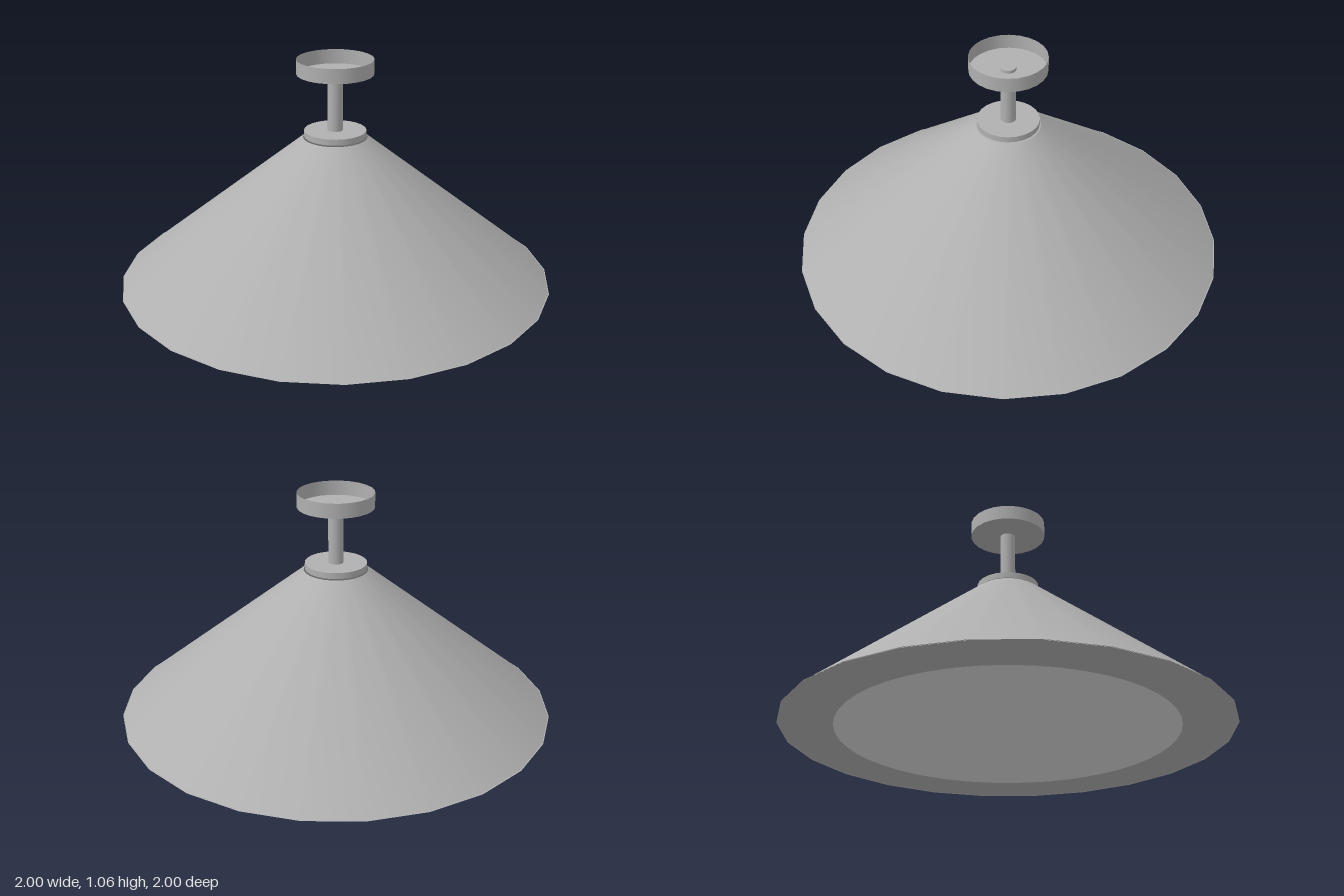
import * as THREE from 'three';

const metal = new THREE.MeshStandardMaterial({ color: 0xb0b0b0, side: THREE.DoubleSide });
metal.name = 'grey metal';
const glow = new THREE.MeshStandardMaterial({ color: 0xd8d8d8 });
glow.name = 'pale diffuser';

const SIDES = 24;
const TURN = Math.PI / SIDES; // puts a flat side on each axis
const RIM = 1 / Math.cos(TURN);

export function createModel() {
  const group = new THREE.Group();
  const add = (name, geometry, material = metal) => {
    const mesh = new THREE.Mesh(geometry, material);
    mesh.name = name;
    group.add(mesh);
    return mesh;
  };

  // Upright round part between two heights
  const round = (name, rTop, rBottom, y0, y1, open = false, sides = SIDES) => {
    const g = new THREE.CylinderGeometry(rTop, rBottom, y1 - y0, sides, 1, open, TURN);
    return add(name, g.translate(0, (y0 + y1) / 2, 0));
  };

  // Flat round plate facing down
  const plate = (name, r, y, material, sides = SIDES) => {
    const g = new THREE.CircleGeometry(r, sides, TURN);
    return add(name, g.rotateX(Math.PI / 2).translate(0, y, 0), material);
  };

  // Conical shade, open at the top, closed underneath
  round('shade', 0.148, RIM, 0, 0.692, true);
  plate('shadeUnderside', RIM, 0.003, metal);
  plate('diffuser', 0.767, 0, glow, 48);

  // Collar and stem
  round('collar', 0.143, 0.143, 0.697, 0.725);
  round('stem', 0.035, 0.035, 0.71, 1.005);

  // Ceiling cup, open at the top
  round('ceilingCupWall', 0.176, 0.176, 0.99, 1.058, true);
  plate('ceilingCupFloor', 0.176, 0.99, metal);

  return group;
}
